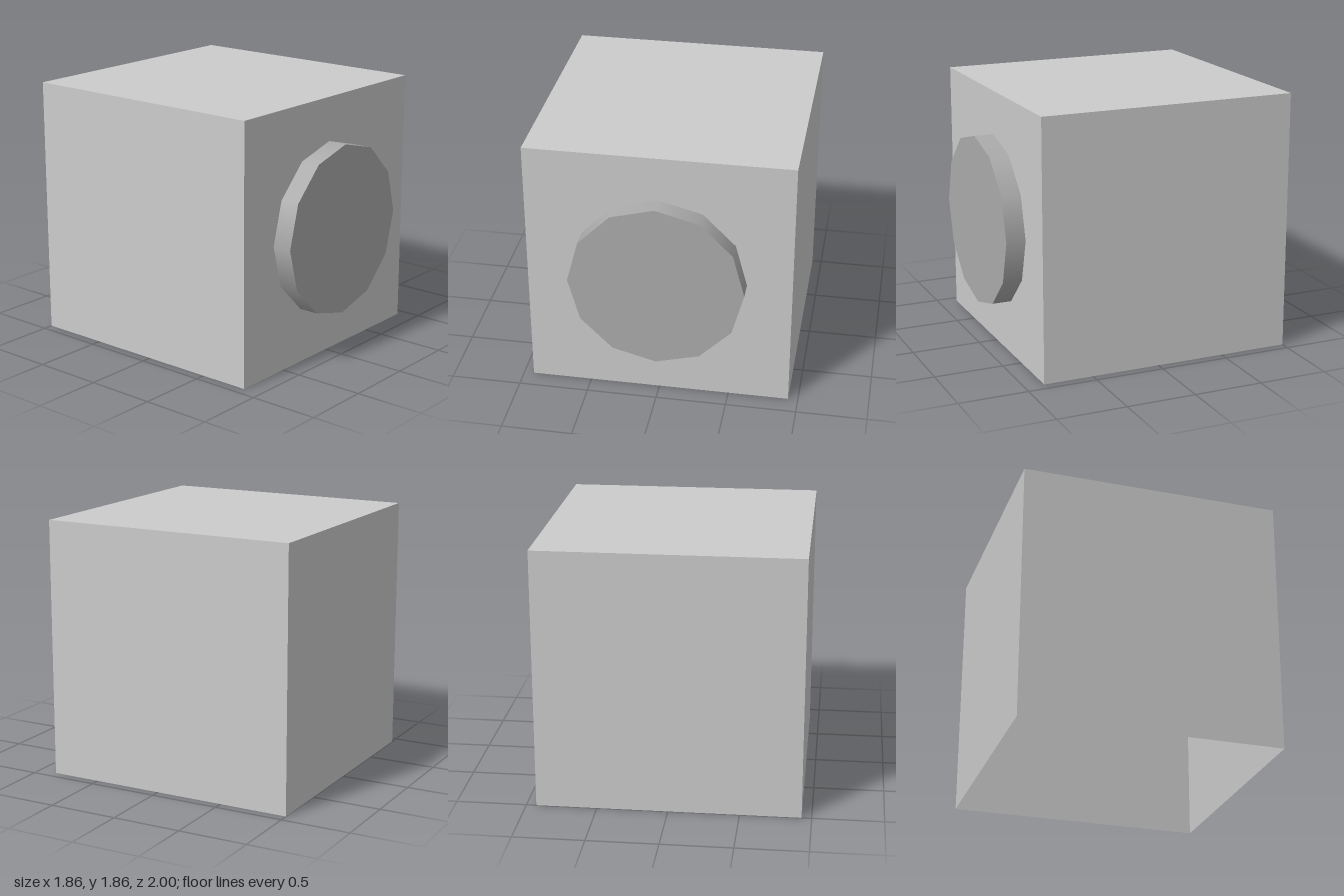
import * as THREE from 'three';

export function createModel() {
  const model = new THREE.Group();
  const width = 1.86, height = 1.86, back = -1, front = 0.86, tip = 1;
  const radius = 0.615, sides = 12;

  const shellMaterial = new THREE.MeshStandardMaterial({ color: 0xcccccc, side: THREE.DoubleSide });
  const discMaterial = new THREE.MeshStandardMaterial({ color: 0xababab, side: THREE.DoubleSide });

  // Thin-walled box, open underneath: the fourth face (the bottom) is left out
  const shell = new THREE.BoxGeometry(width, height, front - back);
  const faces = Array.from(shell.index.array);
  faces.splice(18, 6);
  shell.setIndex(faces);
  shell.clearGroups();
  const body = new THREE.Mesh(shell, shellMaterial);
  body.name = 'openBox';
  body.position.set(0, height / 2, (front + back) / 2);
  model.add(body);

  // Twelve-sided disc on the front: smooth rim and flat cap
  const disc = new THREE.Group();
  disc.name = 'frontDisc';
  disc.position.set(0, height / 2, front);
  const depth = tip - front;

  const rim = new THREE.Mesh(
    new THREE.CylinderGeometry(radius, radius, depth, sides, 1, true)
      .rotateX(Math.PI / 2)
      .translate(0, 0, depth / 2),
    discMaterial
  );
  rim.name = 'discRim';

  const cap = new THREE.Mesh(new THREE.CircleGeometry(radius, sides).translate(0, 0, depth), discMaterial);
  cap.name = 'discCap';

  disc.add(rim, cap);
  model.add(disc);
  return model;
}
